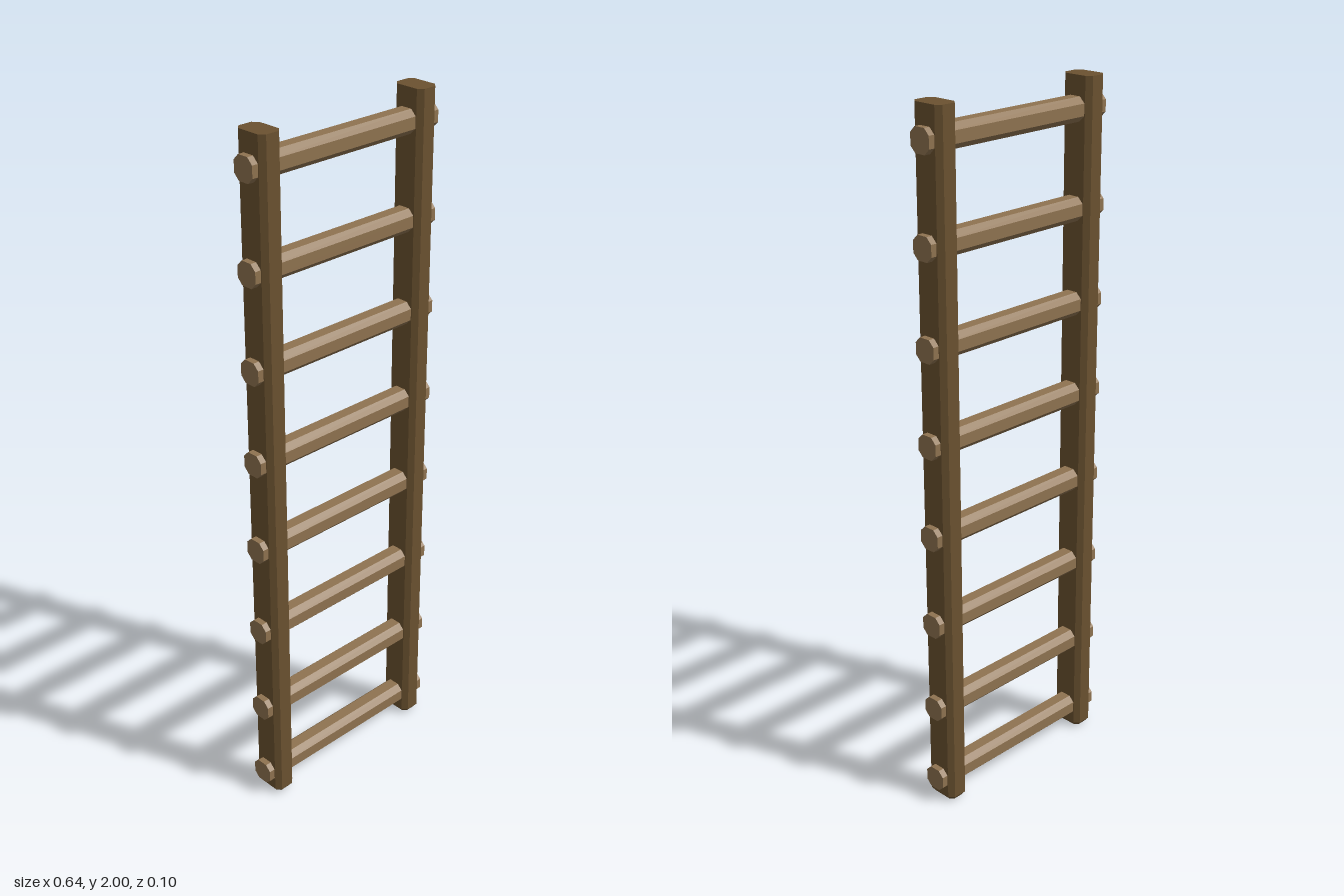
import * as THREE from 'three';

const RAIL_X = 0.2675, HEIGHT = 2;

// Rectangle with its four corners cut off
function cutRectangle(halfW, halfH, cut) {
  const pts = [
    [halfW, -halfH + cut], [halfW, halfH - cut], [halfW - cut, halfH], [-halfW + cut, halfH],
    [-halfW, halfH - cut], [-halfW, -halfH + cut], [-halfW + cut, -halfH], [halfW - cut, -halfH],
  ];
  return new THREE.Shape(pts.map(([x, y]) => new THREE.Vector2(x, y)));
}

// Upright post with chamfered long edges, tapered in at the foot
function railGeometry() {
  const chamfer = 0.014;
  const geo = new THREE.ExtrudeGeometry(cutRectangle(0.0335, 0.049, chamfer), {
    depth: HEIGHT, steps: 2, bevelEnabled: false,
  });
  const p = geo.attributes.position;
  for (let i = 0; i < p.count; i++) {
    const z = p.getZ(i);
    if (z < 0.01) p.setXY(i, p.getX(i) * 0.68, p.getY(i) * 0.78);
    else if (z < HEIGHT - 0.01) p.setZ(i, chamfer);
  }
  geo.rotateX(-Math.PI / 2);
  geo.computeVertexNormals();
  return geo;
}

// Eight-sided bar running along x, poking through both rails
function rungGeometry() {
  const length = 0.638;
  const geo = new THREE.ExtrudeGeometry(cutRectangle(0.033, 0.033, 0.0165), {
    depth: length, bevelEnabled: false,
  });
  geo.translate(0, 0, -length / 2);
  geo.rotateY(Math.PI / 2);
  return geo;
}

export function createModel() {
  const ladder = new THREE.Group();
  ladder.name = 'ladder';
  const railWood = new THREE.MeshStandardMaterial({ color: 0x6b5230, flatShading: true });
  const rungWood = new THREE.MeshStandardMaterial({ color: 0x8f7350, flatShading: true });

  // Side rails
  const railGeo = railGeometry();
  for (const side of [1, -1]) {
    const rail = new THREE.Mesh(railGeo, railWood);
    rail.name = side > 0 ? 'leftRail' : 'rightRail';
    rail.position.x = side * RAIL_X;
    ladder.add(rail);
  }

  // Rungs: the lowest sits a little closer to its neighbour than the rest
  const rungGeo = rungGeometry();
  for (let i = 0; i < 8; i++) {
    const rung = new THREE.Mesh(rungGeo, rungWood);
    rung.name = `rung${i + 1}`;
    rung.position.y = i === 0 ? 0.071 : 0.306 + (i - 1) * 0.2677;
    ladder.add(rung);
  }
  return ladder;
}
